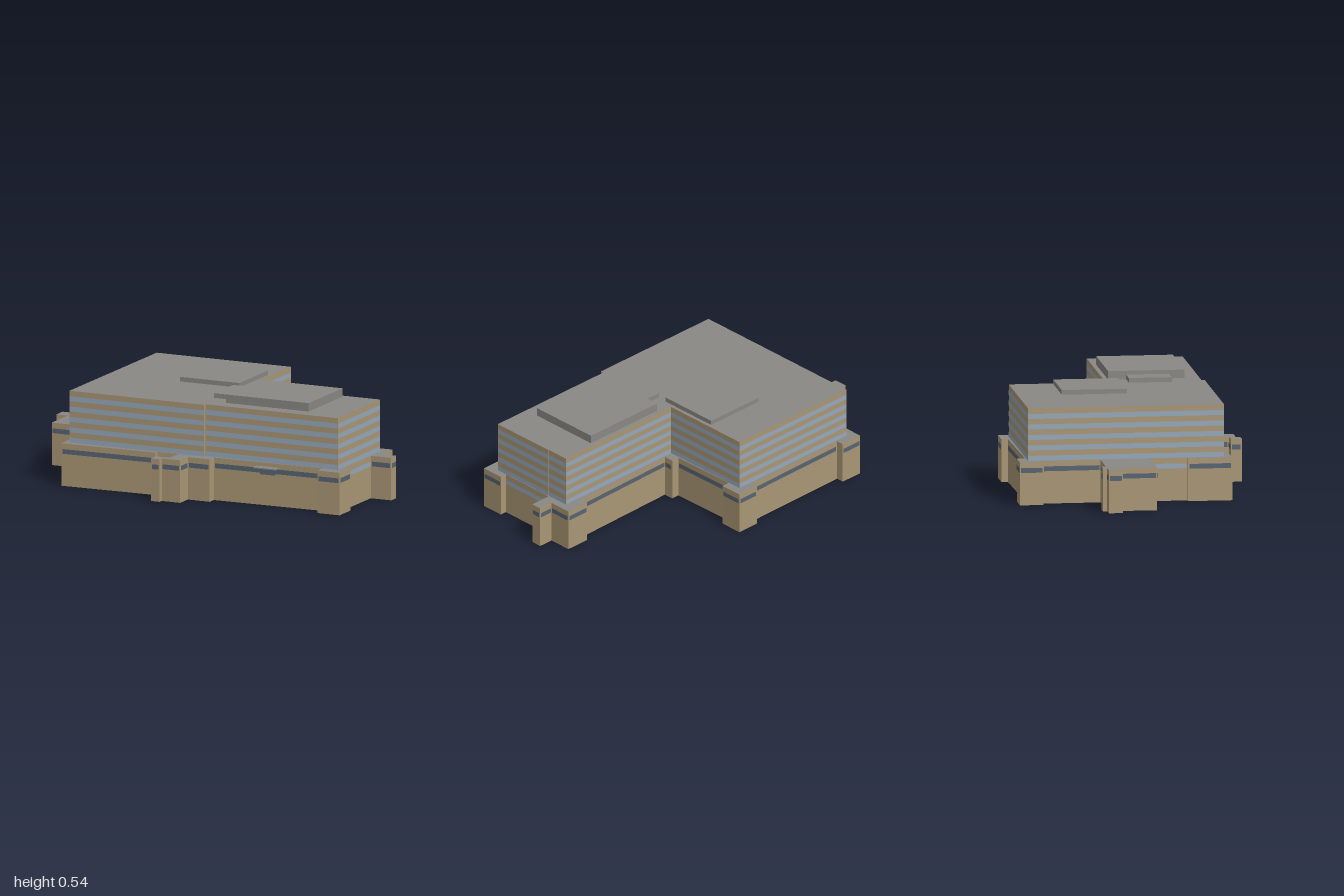
import * as THREE from 'three';

const mat = (name, color, side = THREE.DoubleSide) => {
  const m = new THREE.MeshStandardMaterial({ color, side });
  m.name = name;
  return m;
};

export function createModel() {
  const tan = mat('tan wall', 0xaa9775);
  const glass = mat('pale blue glass', 0x97a9bc, THREE.FrontSide);
  const slate = mat('dark slate glass', 0x576473);
  const grey = mat('grey roof', 0x8a8884);
  const model = new THREE.Group();
  model.name = 'building';

  const PODIUM = 0.223, TOP = 0.494;

  // Outlines as [x, z], clockwise seen from above
  const tower = [
    [-0.645, -0.564], [0.122, -0.564], [0.122, -0.063], [0.877, -0.063], [0.877, 0.06], [0.88, 0.06],
    [0.88, 0.433], [0.125, 0.433], [0.125, 0.45], [-0.645, 0.45],
  ];
  const podium = [
    // back wall with corner piers
    [-0.695, -0.613], [-0.57, -0.613], [-0.57, -0.57], [0.045, -0.579], [0.045, -0.613], [0.17, -0.613],
    [0.17, -0.49], [0.126, -0.49], [0.131, -0.125], [0.175, -0.125], [0.175, -0.071],
    [0.785, -0.085], [0.785, -0.125], [0.919, -0.125],
    // left end
    [0.919, -0.001], [1, -0.001], [1, 0.057], [0.884, 0.057], [0.884, 0.37], [0.92, 0.37], [0.92, 0.495],
    // front wall with entrance piers
    [0.795, 0.495], [0.795, 0.438], [0.18, 0.45], [0.18, 0.498], [0.055, 0.498], [0.055, 0.588],
    [-0.05, 0.588], [-0.05, 0.612], [-0.1, 0.612], [-0.1, 0.555], [-0.02, 0.555], [-0.02, 0.454],
    [-0.14, 0.456], [-0.14, 0.475], [-0.673, 0.488],
    // right end with the side wing
    [-0.673, 0.26], [-0.649, 0.26], [-0.649, 0.07], [-0.935, 0.065], [-0.935, -0.12], [-1, -0.12],
    [-1, -0.193], [-0.935, -0.193], [-0.935, -0.215], [-0.875, -0.215], [-0.875, -0.193],
    [-0.652, -0.19], [-0.655, -0.49], [-0.695, -0.49],
  ];

  const add = (parent, name, geo, material) => {
    const m = new THREE.Mesh(geo, material);
    m.name = name;
    parent.add(m);
    return m;
  };
  const group = (name) => {
    const g = new THREE.Group();
    g.name = name;
    model.add(g);
    return g;
  };
  const toPoints = (pts) => pts.map(([x, z]) => new THREE.Vector2(x, -z));

  // Calls fn(a, b, length) for each side of an outline
  const eachSide = (pts, fn) => pts.forEach((a, i) => {
    const b = pts[(i + 1) % pts.length];
    fn(a, b, Math.hypot(b[0] - a[0], b[1] - a[1]));
  });

  // Stands an outward-facing panel between two plan points, centred at height y
  const panel = (parent, name, material, a, b, width, height, y, shift = 0) => {
    const dx = b[0] - a[0], dz = b[1] - a[1], len = Math.hypot(dx, dz);
    const m = add(parent, name, new THREE.PlaneGeometry(width, height), material);
    m.position.set((a[0] + b[0]) / 2 + dz / len * shift, y, (a[1] + b[1]) / 2 - dx / len * shift);
    m.rotation.y = Math.atan2(dz, -dx);
  };

  // Flat horizontal roof, with an optional opening
  const roof = (parent, name, outline, y, opening) => {
    const shape = new THREE.Shape(toPoints(outline));
    if (opening) shape.holes.push(new THREE.Path(toPoints(opening)));
    const geo = new THREE.ShapeGeometry(shape);
    geo.rotateX(-Math.PI / 2);
    add(parent, name, geo, grey).position.y = y;
  };

  // Tower walls, open underneath, with rows of windows above the podium
  const towerGroup = group('tower');
  eachSide(tower, (a, b, len) => {
    panel(towerGroup, 'towerWall', tan, a, b, len, TOP, TOP / 2);
    if (len < 0.05) return;
    for (let i = 1; i < 6; i++) {
      panel(towerGroup, 'towerWindowBand', glass, a, b, len - 0.004, 0.026, 0.181 + i * 0.0544, 0.0015);
    }
    panel(towerGroup, 'innerWindowBand', slate, a, b, len - 0.04, 0.024, 0.181, -0.0015);
  });
  roof(towerGroup, 'towerRoof', tower, TOP);

  // Podium walls with one window band, paler where the tower wall comes down
  const podiumGroup = group('podium');
  eachSide(podium, (a, b, len) => {
    panel(podiumGroup, 'podiumWall', tan, a, b, len, PODIUM, PODIUM / 2);
    if (len < 0.05) return;
    const underTower = a[0] === b[0] && (a[0] === 0.884 || a[0] === -0.649);
    panel(podiumGroup, 'podiumWindowBand', underTower ? glass : slate, a, b, len - 0.012, 0.025, 0.181, 0.0015);
  });
  roof(podiumGroup, 'podiumRoof', podium, PODIUM, tower);

  // Boxes given by x, y and z ranges
  const box = (name, x0, x1, y0, y1, z0, z1, material) => {
    const m = add(model, name, new THREE.BoxGeometry(x1 - x0, y1 - y0, z1 - z0), material);
    m.position.set((x0 + x1) / 2, (y0 + y1) / 2, (z0 + z1) / 2);
  };

  // Canopy on the front wall
  box('canopy', 0.42, 0.55, 0.197, 0.203, 0.436, 0.485, grey);
  box('canopyWindow', 0.442, 0.528, 0.161, 0.197, 0.438, 0.448, slate);

  // Rooftop plant rooms
  box('backPlantRoom', -0.235, 0.103, TOP, 0.518, -0.337, 0, grey);
  box('frontPlantRoom', 0.203, 0.675, TOP, 0.538, -0.04, 0.356, grey);
  box('linkPlantRoom', 0.095, 0.203, TOP, 0.518, 0.053, 0.275, grey);

  return model;
}
